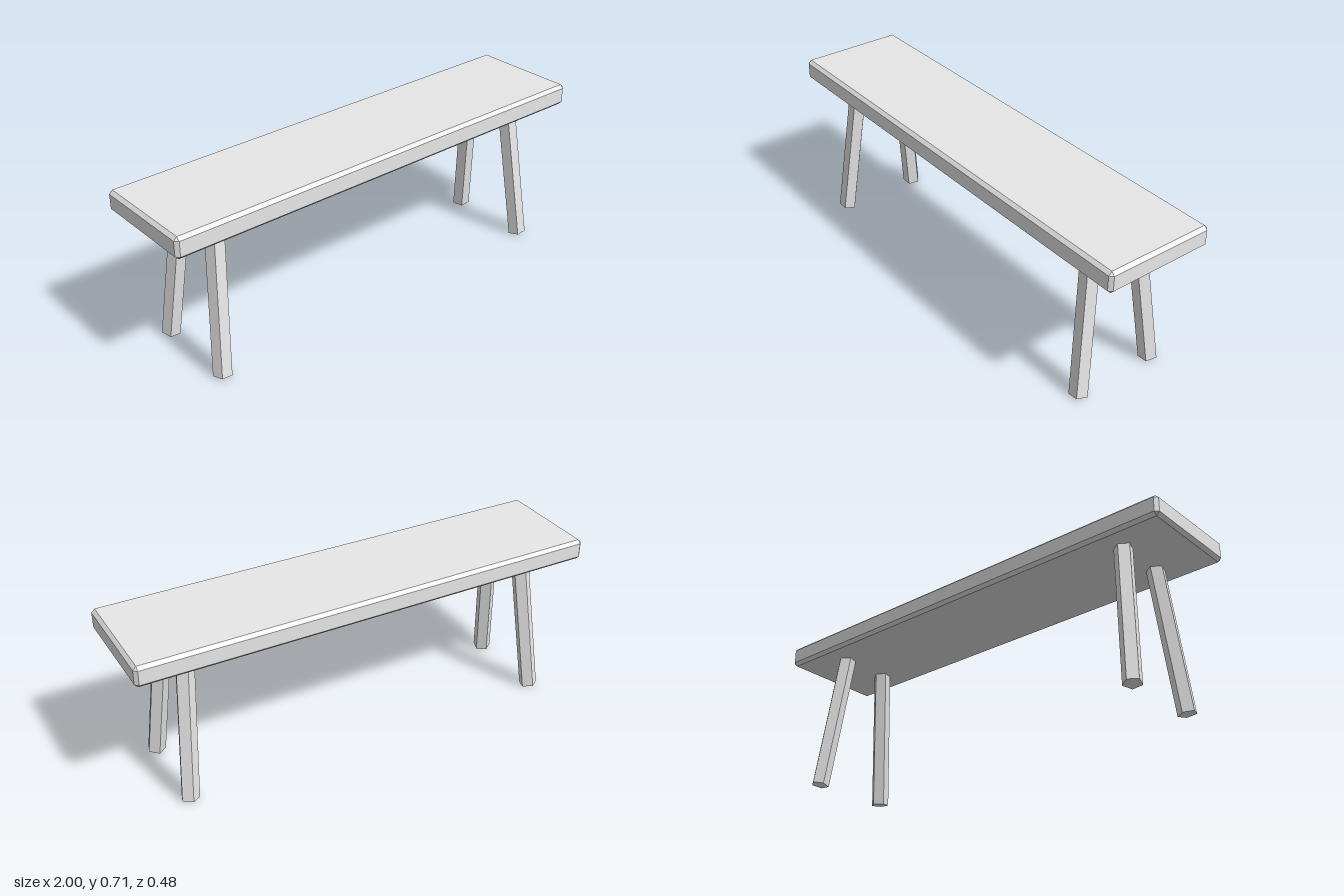
import * as THREE from 'three';
import { ConvexGeometry } from 'three/addons/geometries/ConvexGeometry.js';

// Plank with chamfered edges: three points around each corner, slightly hand-cut
function plankGeometry() {
  const bevel = 0.014;
  const points = [];
  for (const sx of [-1, 1]) for (const sy of [-1, 1]) for (const sz of [-1, 1]) {
    const halfDepth = sx > 0 ? 0.238 : 0.232;
    const top = sz > 0 ? 0.707 : 0.704;
    const corner = new THREE.Vector3(sx, sy > 0 ? top : 0.615, sz * halfDepth);
    for (const axis of [0, 1, 2]) {
      // keep one axis at full size, pull the other two in
      const inset = new THREE.Vector3(sx, sy, sz).multiplyScalar(-bevel);
      inset.setComponent(axis, 0);
      points.push(corner.clone().add(inset));
    }
  }
  return new ConvexGeometry(points);
}

export function createModel() {
  const model = new THREE.Group();
  model.name = 'bench';
  const wood = new THREE.MeshStandardMaterial({ color: 0xe7e7e7 });
  wood.name = 'pale grey';

  const seat = new THREE.Mesh(plankGeometry(), wood);
  seat.name = 'seat';
  model.add(seat);

  // Five-sided splayed legs, flat side to the front, ends square to the leg
  const up = new THREE.Vector3(0, 1, 0);
  for (const sx of [-1, 1]) for (const sz of [-1, 1]) {
    const foot = new THREE.Vector3(sx * 0.819, 0.006, sz * 0.182);
    const head = new THREE.Vector3(sx * 0.766, 0.625, sz * 0.111);
    const axis = head.clone().sub(foot);
    const geometry = new THREE.CylinderGeometry(0.039, 0.039, axis.length(), 5)
      .rotateY(Math.PI).toNonIndexed();
    geometry.computeVertexNormals();
    const leg = new THREE.Mesh(geometry, wood);
    leg.name = (sz > 0 ? 'front' : 'back') + (sx > 0 ? 'Left' : 'Right') + 'Leg';
    leg.position.copy(foot).add(head).multiplyScalar(0.5);
    leg.quaternion.setFromUnitVectors(up, axis.normalize());
    model.add(leg);
  }
  return model;
}
